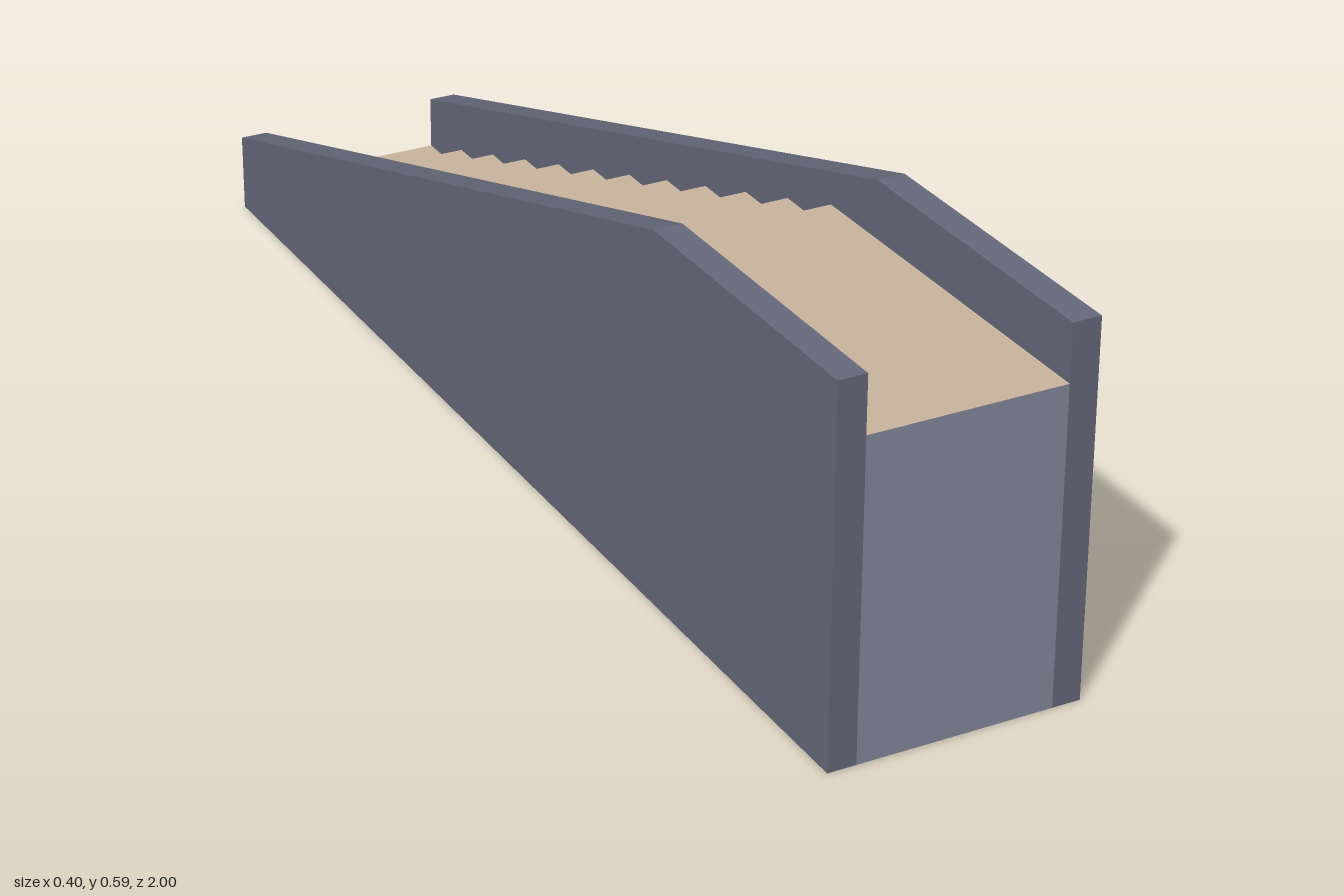
import * as THREE from 'three';

const STEPS = 12, RUN = 0.125, RISE = 0.5 / STEPS;
const INNER = 0.155, OUTER = 0.2;

export function createModel() {
  const wallMat = new THREE.MeshStandardMaterial({ color: 0x676a7c });
  wallMat.name = 'dark slate';
  const bodyMat = new THREE.MeshStandardMaterial({ color: 0x878b9f });
  bodyMat.name = 'light slate';
  const treadMat = new THREE.MeshStandardMaterial({ color: 0xcbb69f });
  treadMat.name = 'tan';

  const model = new THREE.Group();
  model.name = 'staircase';

  // Flat panel across the stair width
  function panel(name, mat, depth, rotX, rotY, y, z) {
    const mesh = new THREE.Mesh(new THREE.PlaneGeometry(INNER * 2, depth), mat);
    mesh.name = name;
    mesh.rotation.set(rotX, rotY, 0);
    mesh.position.set(0, y, z);
    model.add(mesh);
  }

  // Risers face the back; treads face up, the last one being the landing
  for (let i = 0; i < STEPS; i++) {
    const last = i === STEPS - 1;
    const z0 = -1 + i * RUN;
    const z1 = last ? 1 : z0 + RUN;
    panel('riser', bodyMat, RISE, 0, Math.PI, (i + 0.5) * RISE, z0);
    panel(last ? 'landing' : 'tread', treadMat, z1 - z0, -Math.PI / 2, 0, (i + 1) * RISE, (z0 + z1) / 2);
  }

  // Front face and underside of the stair body
  panel('frontFace', bodyMat, 0.5, 0, 0, 0.25, 1);
  panel('underside', bodyMat, 2, Math.PI / 2, 0, 0, 0);

  // Side walls: profile drawn as (-z, y), then extruded along x
  const profile = new THREE.Shape([[-1, 0], [1, 0], [1, 0.13], [-0.5, 0.59], [-1, 0.59]]
    .map(([x, y]) => new THREE.Vector2(x, y)));
  const wallGeo = new THREE.ExtrudeGeometry(profile, { depth: OUTER - INNER, bevelEnabled: false });
  wallGeo.rotateY(Math.PI / 2);
  for (const [name, x] of [['leftWall', INNER], ['rightWall', -OUTER]]) {
    const wall = new THREE.Mesh(wallGeo, wallMat);
    wall.name = name;
    wall.position.x = x;
    model.add(wall);
  }
  return model;
}
